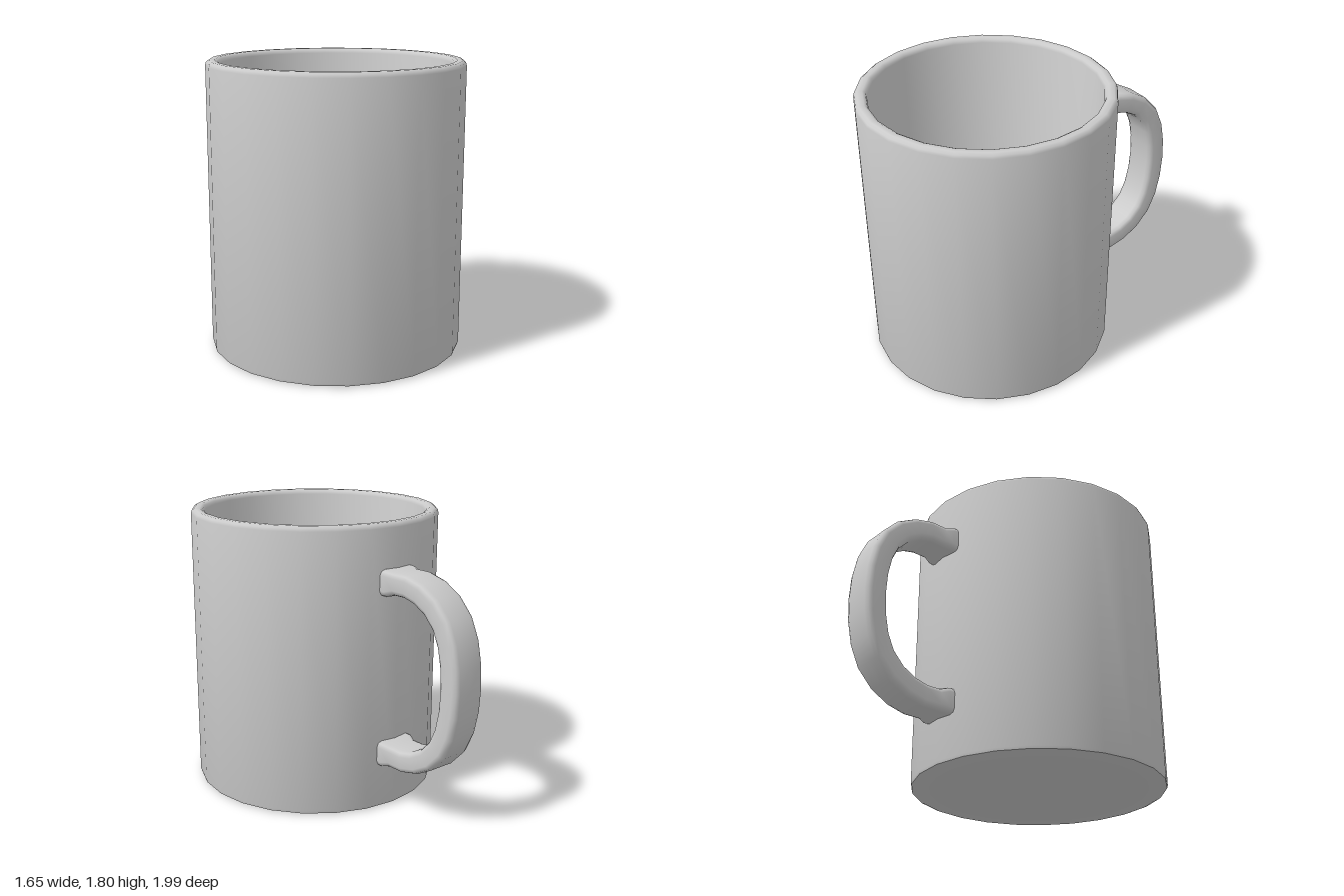
import * as THREE from 'three';
import { toCreasedNormals } from 'three/addons/utils/BufferGeometryUtils.js';

const material = new THREE.MeshStandardMaterial({ color: 0xcccccc });

// Hollow cup: underside, outer wall, rounded rim, inner wall and floor
function makeCup() {
  const profile = [
    [0, 0], [0.765, 0], [0.785, 0.008], [0.79, 0.025],
    [0.79, 1.77], [0.785, 1.788], [0.768, 1.8],
    [0.735, 1.8], [0.717, 1.79], [0.71, 1.77],
    [0.705, 0.13], [0.697, 0.1], [0.675, 0.085], [0, 0.08],
  ].map(([r, y]) => new THREE.Vector2(r, y));
  const geometry = toCreasedNormals(new THREE.LatheGeometry(profile, 24), 0.8);
  const mesh = new THREE.Mesh(geometry, material);
  mesh.name = 'cup';
  return mesh;
}

// Flat strap swept along a D-shaped path in the local xy plane
function makeHandle() {
  const midY = 0.905;
  const upper = [
    [0.74, 1.445], [0.80, 1.447], [0.85, 1.449], [0.95, 1.45], [1.05, 1.425],
    [1.15, 1.37], [1.235, 1.28], [1.285, 1.17], [1.312, 1.04],
  ];
  const lower = upper.map(([x, y]) => [x, 2 * midY - y]).reverse();
  const path = [...upper, [1.32, midY], ...lower];

  // Cross-section: [across the strap, along the path normal]
  const section = [
    [0.115, 0.035], [0.104, 0.059], [0.08, 0.069], [0, 0.068],
    [-0.08, 0.069], [-0.104, 0.059], [-0.115, 0.035],
    [-0.115, -0.035], [-0.104, -0.059], [-0.08, -0.069], [0, -0.068],
    [0.08, -0.069], [0.104, -0.059], [0.115, -0.035],
  ];
  const n = section.length;
  const positions = [];
  const indices = [];
  path.forEach(([x, y], i) => {
    const a = path[Math.max(i - 1, 0)];
    const b = path[Math.min(i + 1, path.length - 1)];
    const t = new THREE.Vector2(b[0] - a[0], b[1] - a[1]).normalize();
    // Slight flare where the strap meets the wall
    const flare = Math.min(i, path.length - 1 - i) < 2 ? 0.02 : 0;
    for (const [w, h] of section) {
      const k = h + Math.sign(h) * flare * 0.6;
      positions.push(x - t.y * k, y + t.x * k, w + Math.sign(w) * flare);
    }
    if (i === 0) return;
    for (let j = 0; j < n; j++) {
      const p = (i - 1) * n + j;
      const q = (i - 1) * n + ((j + 1) % n);
      indices.push(p, p + n, q, q, p + n, q + n);
    }
  });
  const geometry = new THREE.BufferGeometry();
  geometry.setAttribute('position', new THREE.Float32BufferAttribute(positions, 3));
  geometry.setIndex(indices);
  geometry.computeVertexNormals();
  const mesh = new THREE.Mesh(geometry, material);
  mesh.name = 'handle';
  return mesh;
}

export function createModel() {
  const mug = new THREE.Group();
  mug.name = 'mug';
  mug.add(makeCup(), makeHandle());
  // Turn the handle to the back right
  mug.rotation.y = THREE.MathUtils.degToRad(124);
  mug.position.set(0.035, 0, 0.21);

  const model = new THREE.Group();
  model.add(mug);
  return model;
}
